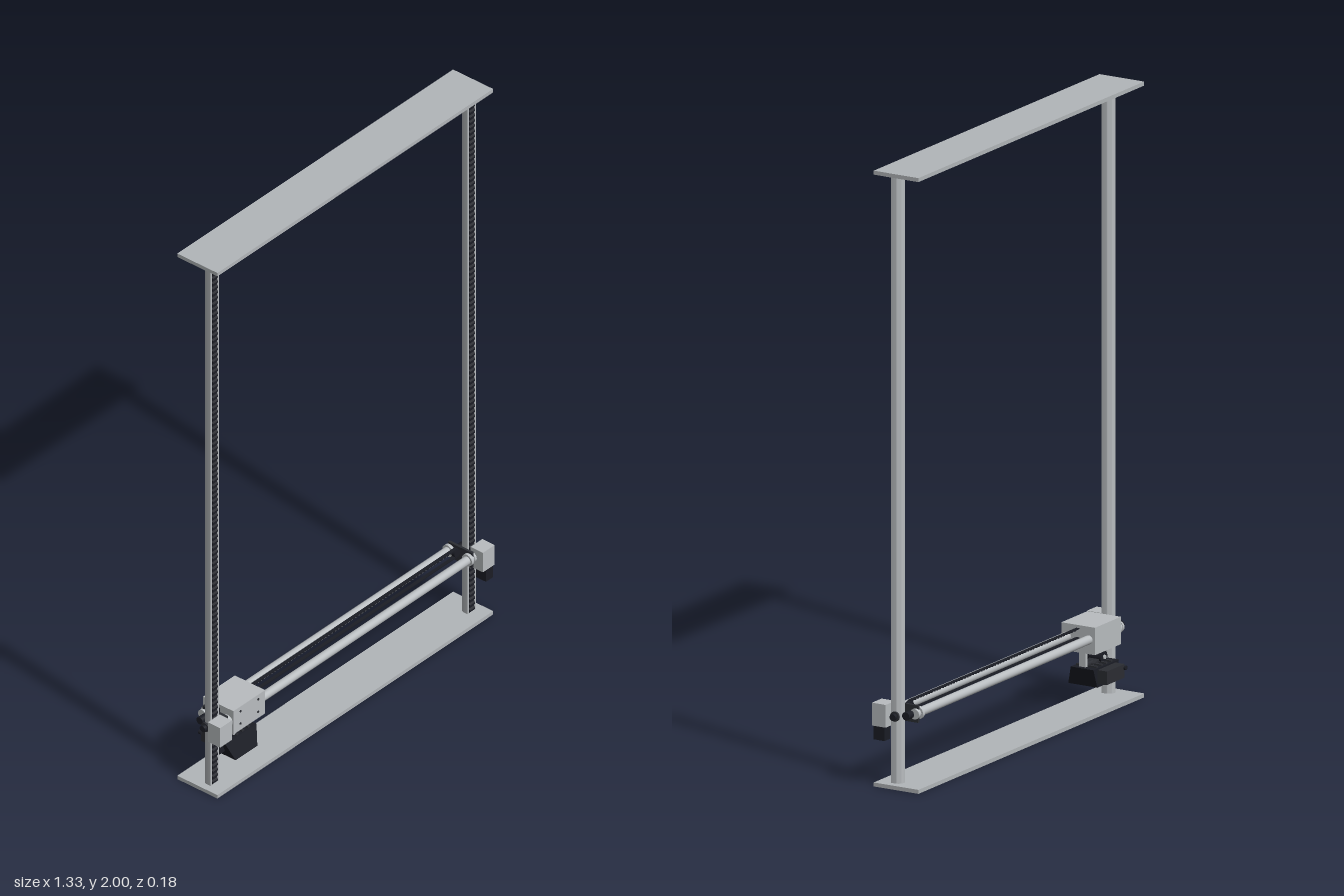
import * as THREE from 'three';
import { toCreasedNormals } from 'three/addons/utils/BufferGeometryUtils.js';

const mat = (name, color) => Object.assign(new THREE.MeshStandardMaterial({ color }), { name });

export function createModel() {
  const model = new THREE.Group();
  model.name = 'gantryFrame';
  const plateGrey = mat('plate grey', 0xb2b6b9);
  const steel = mat('steel', 0xb9bdc0);
  const black = mat('black', 0x1b1d25);
  const charcoal = mat('charcoal', 0x2b2d33);

  const add = (name, geo, material, x = 0, y = 0, z = 0, parent = model) => {
    const mesh = new THREE.Mesh(geo, material);
    mesh.name = name;
    mesh.position.set(x, y, z);
    parent.add(mesh);
    return mesh;
  };
  // box given by its limits on each axis
  const box = (name, m, x0, x1, y0, y1, z0, z1) =>
    add(name, new THREE.BoxGeometry(x1 - x0, y1 - y0, z1 - z0), m,
      (x0 + x1) / 2, (y0 + y1) / 2, (z0 + z1) / 2);
  // cylinder lying along one axis, between two limits
  const rod = (name, m, axis, r, a, b, u, v) => {
    const g = new THREE.CylinderGeometry(r, r, Math.abs(b - a), 24);
    const c = (a + b) / 2;
    if (axis === 'x') return add(name, g.rotateZ(Math.PI / 2), m, c, u, v);
    if (axis === 'z') return add(name, g.rotateX(Math.PI / 2), m, u, v, c);
    return add(name, g, m, u, c, v);
  };

  // end plates
  box('bottomPlate', plateGrey, -0.665, 0.665, 0, 0.013, -0.087, 0.078);
  box('topPlate', plateGrey, -0.665, 0.665, 1.987, 2, -0.087, 0.078);

  // D-shaped post section: round at the back, flat and grooved at the front
  const section = new THREE.Shape();
  section.moveTo(0.0205, -0.029);
  section.lineTo(0.0205, -0.015);
  section.absarc(0, -0.015, 0.0205, 0, Math.PI, false);
  section.lineTo(-0.0205, -0.029);
  section.lineTo(-0.0135, -0.029);
  section.lineTo(-0.0135, -0.02);
  section.lineTo(0.0135, -0.02);
  section.lineTo(0.0135, -0.029);
  const postGeo = toCreasedNormals(
    new THREE.ExtrudeGeometry(section, { depth: 1.974, bevelEnabled: false, curveSegments: 20 })
      .rotateX(-Math.PI / 2), 0.6);

  // toothed rack profile, teeth pointing forward
  const rackShape = new THREE.Shape();
  const pitch = 1.974 / 100;
  rackShape.moveTo(0.019, 0);
  for (let i = 0; i < 100; i++) {
    const y = i * pitch;
    rackShape.lineTo(0.027, y);
    rackShape.lineTo(0.032, y + pitch * 0.25);
    rackShape.lineTo(0.032, y + pitch * 0.55);
    rackShape.lineTo(0.027, y + pitch * 0.8);
  }
  rackShape.lineTo(0.027, 1.974);
  rackShape.lineTo(0.019, 1.974);
  const rackGeo = new THREE.ExtrudeGeometry(rackShape, { depth: 0.025, bevelEnabled: false })
    .translate(0, 0, -0.0125).rotateY(-Math.PI / 2);

  for (const s of [-1, 1]) {
    const side = s < 0 ? 'right' : 'left';
    add(side + 'Post', postGeo, steel, s * 0.62, 0.013, 0);
    add(side + 'Rack', rackGeo, black, s * 0.62, 0.013, 0);

    // drive housing in front of each post
    const h = [s * 0.605, s * 0.662].sort((a, b) => a - b);
    box(side + 'Housing', steel, h[0], h[1], 0.196, 0.27, 0.036, 0.087);
    // axle and rollers gripping the post
    rod(side + 'Axle', black, 'x', 0.011, s * 0.643, s * 0.66, 0.232, 0.012);
    rod(side + 'AxleCap', charcoal, 'x', 0.016, s * 0.642, s * 0.649, 0.232, 0.012);
    rod(side + 'BackRoller', black, 'x', 0.013, s * 0.605, s * 0.635, 0.235, -0.021);
    // yoke tying both rails together
    const k = [s * 0.588, s * 0.597].sort((a, b) => a - b);
    box(side + 'Yoke', charcoal, k[0], k[1], 0.208, 0.264, -0.042, 0.056);
    for (const z of [-0.035, 0.045]) {
      rod(side + 'Collar', steel, 'x', 0.021, s * 0.577, s * 0.588, 0.237, z);
      rod(side + 'RailEnd', steel, 'x', 0.017, s * 0.597, s * 0.606, 0.237, z);
    }
    rod(side + 'Pulley', black, 'z', 0.014, -0.002, 0.012, s * 0.57, 0.253);
  }
  // motor under one housing
  box('motor', black, 0.622, 0.656, 0.15, 0.196, 0.044, 0.085);

  // horizontal rails and the two belt runs
  for (const z of [-0.035, 0.045]) rod('rail', steel, 'x', 0.0145, -0.6, 0.6, 0.237, z);
  for (const y of [0.268, 0.238]) box('belt', black, -0.57, 0.57, y - 0.0015, y + 0.0015, -0.001, 0.011);
  for (let i = 0; i < 60; i++) {
    const x = -0.4 + i * 0.0162;
    box('beltTooth', black, x, x + 0.007, 0.2645, 0.267, -0.001, 0.011);
  }

  // carriage with screws
  box('carriage', steel, -0.574, -0.421, 0.19, 0.279, -0.058, 0.066);
  for (const x of [-0.54, -0.455])
    for (const y of [0.215, 0.262]) rod('screw', charcoal, 'z', 0.004, 0.064, 0.068, x, y);

  // hanger legs and swivel joint
  for (const x of [-0.549, -0.445]) box('hangerLeg', steel, x - 0.005, x + 0.005, 0.125, 0.19, -0.012, 0.012);
  rod('hangerBar', charcoal, 'x', 0.007, -0.55, -0.444, 0.142, 0);
  rod('swivelJoint', black, 'z', 0.02, -0.025, 0.025, -0.527, 0.155);
  rod('swivelPin', steel, 'z', 0.007, -0.03, 0.03, -0.527, 0.155);
  const arm = box('swivelArm', charcoal, -0.535, -0.475, 0.138, 0.15, -0.018, 0.018);
  arm.rotation.z = -0.3;

  // tool head: a box narrowed at the bottom and sloped at the front
  const headGeo = new THREE.BoxGeometry(0.15, 0.062, 0.1);
  const p = headGeo.attributes.position;
  for (let i = 0; i < p.count; i++) {
    const low = p.getY(i) < 0;
    if (low) p.setX(i, p.getX(i) * 0.7);
    if (p.getZ(i) > 0) p.setZ(i, low ? 0.057 : 0.034);
  }
  headGeo.computeVertexNormals();
  add('toolHead', headGeo, black, -0.5, 0.108, 0);
  box('toolHeadBack', charcoal, -0.555, -0.45, 0.09, 0.134, -0.084, -0.048);
  box('toolHeadLug', black, -0.586, -0.55, 0.1, 0.134, -0.03, 0.02);
  rod('toolHeadKnob', black, 'z', 0.007, -0.09, -0.08, -0.555, 0.122);
  for (let i = 0; i < 4; i++)
    box('coolingRib', charcoal, -0.545 + i * 0.028, -0.535 + i * 0.028, 0.136, 0.144, -0.045, 0.03);

  return model;
}
